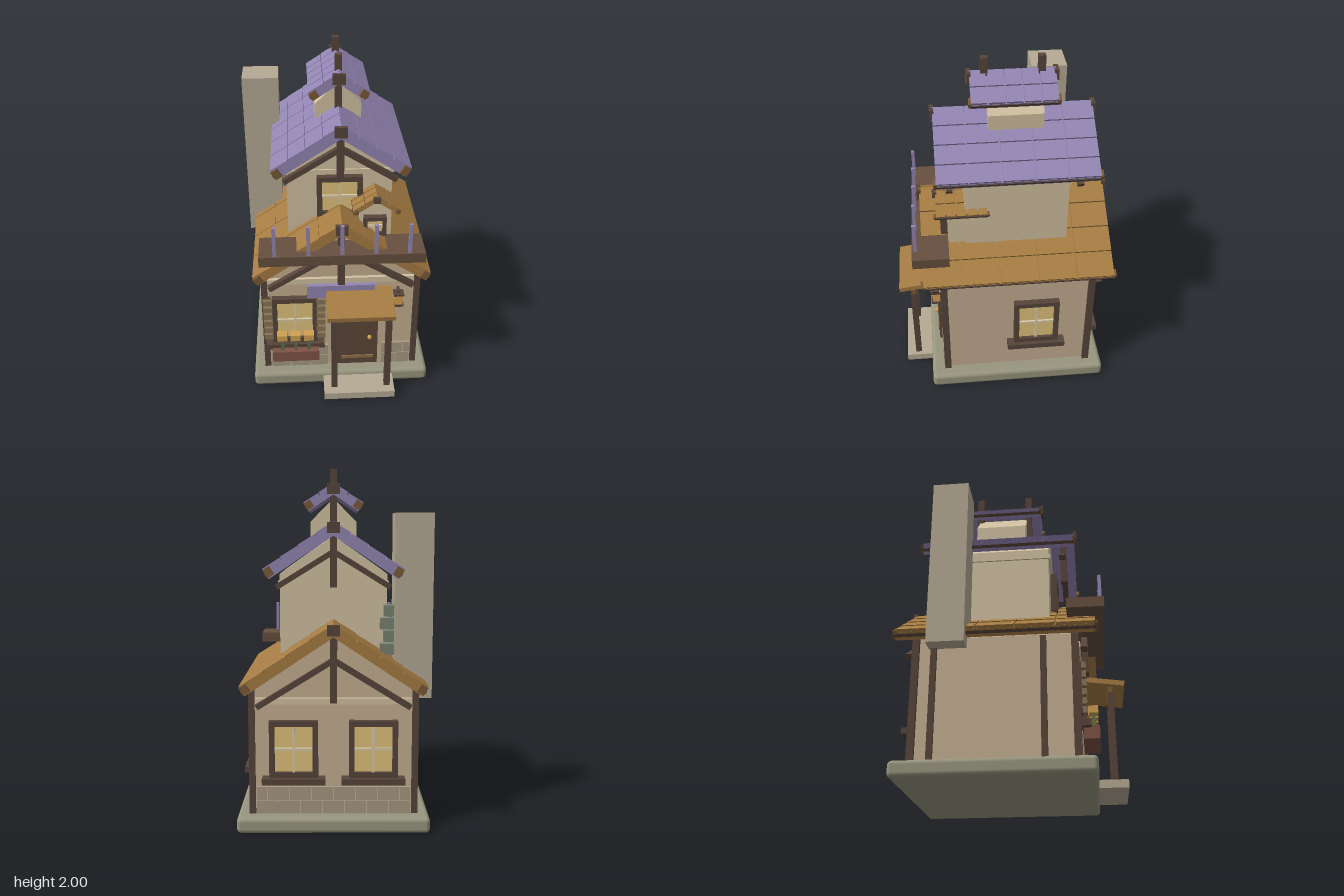
import * as THREE from 'three';
import { RoundedBoxGeometry } from 'three/addons/geometries/RoundedBoxGeometry.js';

const COLORS = {
  wall: 0xc6b092, upperWall: 0xd2c2a2, timber: 0x57453a, door: 0x5c4738, balcony: 0x66503f,
  brownTile: 0xa67c43, purpleTile: 0x9385b3, eave: 0x7a5a36, glass: 0xe2c47c, bar: 0xd9cba8,
  chimney: 0xb5aa94, base: 0x98967f, stone: 0xa89a82, moss: 0x7b8172, planter: 0x805345,
  stem: 0x5f7048, flower: 0xd0a050, shutter: 0x8a7556, strap: 0x8c7048, lamp: 0xd9a04e,
};
const mats = {};
const mat = (c) => (mats[c] ??= new THREE.MeshStandardMaterial({ color: COLORS[c] }));
const ANGLE = Math.atan(2 / 3);

function mesh(parent, name, geo, color, x = 0, y = 0, z = 0) {
  const m = new THREE.Mesh(geo, mat(color));
  m.name = name;
  m.position.set(x, y, z);
  parent.add(m);
  return m;
}
// Box given by its minimum and maximum on each axis
function span(parent, name, color, x0, x1, y0, y1, z0, z1) {
  return mesh(parent, name, new THREE.BoxGeometry(x1 - x0, y1 - y0, z1 - z0), color,
    (x0 + x1) / 2, (y0 + y1) / 2, (z0 + z1) / 2);
}
function group(parent, name, x = 0, y = 0, z = 0, ry = 0) {
  const g = new THREE.Group();
  g.name = name;
  g.position.set(x, y, z);
  g.rotation.y = ry;
  parent.add(g);
  return g;
}
// Square beam between two points in a plane of constant z
function beam(parent, name, x0, y0, x1, y1, z, thick, depth) {
  const len = Math.hypot(x1 - x0, y1 - y0);
  const m = mesh(parent, name, new THREE.BoxGeometry(len, thick, depth), 'timber', (x0 + x1) / 2, (y0 + y1) / 2, z);
  m.rotation.z = Math.atan2(y1 - y0, x1 - x0);
}
// Storey with gabled ends
function gabledBody(parent, name, color, w, y0, shoulder, apex, z0, z1, x = 0) {
  const s = new THREE.Shape([[-w, y0], [w, y0], [w, shoulder], [0, apex], [-w, shoulder]].map((p) => new THREE.Vector2(...p)));
  mesh(parent, name, new THREE.ExtrudeGeometry(s, { depth: z1 - z0, bevelEnabled: false }), color, x, 0, z0);
}

// Two tiled slopes meeting at a ridge along z
function gableRoof(parent, name, color, o) {
  const { x = 0, ridge, half, z0, z1, t, rows, cols, block = 0.07 } = o;
  const roof = group(parent, name, x, ridge, (z0 + z1) / 2);
  const L = half / Math.cos(ANGLE), D = z1 - z0, gap = 0.008;
  for (const turn of [0, Math.PI]) {
    const slope = group(group(roof, 'roofSide', 0, 0, 0, turn), 'slope');
    slope.rotation.z = -ANGLE;
    mesh(slope, 'roofSlab', new THREE.BoxGeometry(L, t - 0.015, D - 0.01), color, L / 2, -0.015 - (t - 0.015) / 2, 0);
    const tw = L / rows, td = D / cols;
    const tile = new THREE.BoxGeometry(tw - gap * 0.6, 0.022, td - gap);
    for (let r = 0; r < rows; r++) for (let c = 0; c < cols; c++) {
      const m = mesh(slope, 'roofTile', tile, color, (r + 0.5) * tw, -0.011, -D / 2 + (c + 0.5) * td);
      m.rotation.z = 0.03;
    }
    mesh(slope, 'eaveRod', new THREE.BoxGeometry(0.02, 0.018, D + 0.005), 'timber', L - 0.005, -t * 0.55, 0);
    for (const s of [-1, 1])
      mesh(slope, 'eaveBlock', new THREE.BoxGeometry(block * 0.6, t * 0.8, 0.02), 'eave', L - block * 0.3, -t * 0.5, s * D / 2);
  }
  for (const s of [-1, 1])
    mesh(roof, 'ridgeBlock', new THREE.BoxGeometry(block, block * 0.85, 0.025), 'timber', 0, -block * 0.5, s * D / 2);
}

// King post with two braces in a gable
function gableTruss(parent, z, y0, yTop, braceTop, braceX, braceY) {
  const g = group(parent, 'gableTruss');
  span(g, 'kingPost', 'timber', -0.02, 0.02, y0, yTop, z - 0.02, z + 0.02);
  for (const s of [-1, 1]) beam(g, 'brace', 0, braceTop, s * braceX, braceY, z, 0.03, 0.035);
}

// Framed window facing +z of its own group
function windowUnit(parent, x, y, z, ry, w, h, sill = true, b = 0.03) {
  const g = group(parent, 'window', x, y, z, ry);
  for (const s of [-1, 1]) {
    mesh(g, 'frameSide', new THREE.BoxGeometry(b, h, 0.04), 'timber', s * (w - b) / 2, 0, 0.02);
    mesh(g, 'frameRail', new THREE.BoxGeometry(w, b, 0.038), 'timber', 0, s * (h - b) / 2, 0.02);
  }
  mesh(g, 'glass', new THREE.BoxGeometry(w - b, h - b, 0.02), 'glass', 0, 0, 0.01);
  mesh(g, 'glazingBar', new THREE.BoxGeometry(0.014, h - b, 0.02), 'bar', 0, 0, 0.022);
  mesh(g, 'glazingBar', new THREE.BoxGeometry(w - b, 0.014, 0.02), 'bar', 0, 0, 0.022);
  if (sill) mesh(g, 'sill', new THREE.BoxGeometry(w + 0.08, 0.035, 0.065), 'timber', 0, -h / 2 - 0.0175, 0.03);
}

// Two courses of blocks along a wall
function stoneCourse(parent, x0, x1, z) {
  const n = Math.max(1, Math.round((x1 - x0) / 0.115)), w = (x1 - x0) / n;
  for (let r = 0; r < 2; r++) {
    const cuts = [0];
    for (let i = r ? 0.5 : 1; i < n; i++) cuts.push(i);
    cuts.push(n);
    for (let i = 0; i + 1 < cuts.length; i++)
      span(parent, 'stoneBlock', 'stone', x0 + cuts[i] * w + 0.003, x0 + cuts[i + 1] * w - 0.003,
        0.09 + r * 0.08, 0.166 + r * 0.08, z - 0.012, z + 0.012);
  }
}

export function createModel() {
  const root = new THREE.Group();
  root.name = 'cottage';
  const house = group(root, 'house', 0.005);

  // Base and ground floor
  mesh(house, 'base', new RoundedBoxGeometry(1.07, 0.09, 1.07, 3, 0.025), 'base', 0, 0.045, -0.065);
  gabledBody(house, 'groundFloor', 'wall', 0.45, 0.08, 0.79, 1.09, -0.51, 0.38);
  for (const x of [-0.452, 0.452]) for (const z of [0.372, -0.5])
    span(house, 'cornerPost', 'timber', x - 0.018, x + 0.018, 0.09, 0.81, z - 0.02, z + 0.02);
  for (const z of [-0.4, 0.2]) span(house, 'wallPost', 'timber', -0.465, -0.44, 0.09, 0.78, z - 0.017, z + 0.017);
  stoneCourse(house, -0.43, -0.075, 0.385);
  stoneCourse(house, 0.25, 0.43, 0.385);
  stoneCourse(house, -0.43, 0.43, -0.515);
  for (const z of [0.385, -0.515]) span(house, 'gableTrim', 'upperWall', -0.43, 0.43, 0.715, 0.75, z - 0.015, z + 0.015);
  gableTruss(house, 0.42, 0.73, 1.1, 0.965, 0.42, 0.705);
  gableTruss(house, -0.55, 0.73, 1.1, 0.965, 0.42, 0.705);
  gableRoof(house, 'lowerRoof', 'brownTile', { ridge: 1.17, half: 0.51, z0: -0.62, z1: 0.49, t: 0.06, rows: 4, cols: 5 });

  // Upper floor
  gabledBody(house, 'upperFloor', 'upperWall', 0.3, 0.85, 1.42, 1.63, -0.36, 0.23);
  span(house, 'upperTrim', 'upperWall', -0.31, 0.31, 1.355, 1.38, -0.37, 0.24);
  gableTruss(house, 0.31, 1.35, 1.65, 1.545, 0.315, 1.35);
  gableTruss(house, -0.42, 1.35, 1.65, 1.545, 0.315, 1.35);
  gableRoof(house, 'upperRoof', 'purpleTile', { ridge: 1.71, half: 0.385, z0: -0.52, z1: 0.385, t: 0.065, rows: 4, cols: 5 });
  windowUnit(house, 0, 1.22, 0.23, 0, 0.26, 0.25, false);

  // Cupola
  gabledBody(house, 'cupola', 'upperWall', 0.13, 1.6, 1.71, 1.84, -0.23, 0.08);
  gableRoof(house, 'cupolaRoof', 'purpleTile', { ridge: 1.925, half: 0.17, z0: -0.305, z1: 0.175, t: 0.055, rows: 2, cols: 5 });
  for (const z of [0.09, -0.225]) span(house, 'ridgePost', 'timber', -0.02, 0.02, 1.62, 2, z - 0.02, z + 0.02);

  // Dormer
  gabledBody(house, 'dormer', 'upperWall', 0.09, 0.9, 1.165, 1.23, 0.15, 0.33, 0.2);
  windowUnit(house, 0.195, 1.075, 0.33, 0, 0.13, 0.12, false, 0.022);
  gableRoof(house, 'dormerRoof', 'brownTile', { x: 0.2, ridge: 1.285, half: 0.135, z0: 0.1, z1: 0.395, t: 0.03, rows: 2, cols: 5, block: 0.04 });

  // Balcony
  span(house, 'balcony', 'balcony', -0.465, 0.465, 0.94, 1.0, 0.33, 0.54);
  for (let i = -2; i <= 2; i++) span(house, 'baluster', 'purpleTile', i * 0.188 - 0.01, i * 0.188 + 0.01, 1, 1.18, 0.51, 0.53);

  // Chimney with a few stones beside it
  span(house, 'chimney', 'chimney', -0.55, -0.337, 0.73, 1.755, -0.43, -0.22);
  for (let i = 0; i < 4; i++)
    span(house, 'cornerStone', 'moss', -0.337, -0.26 - (i % 2) * 0.02, 0.97 + i * 0.072, 1.033 + i * 0.072, -0.405, -0.34);

  // Door
  const door = group(house, 'door');
  span(door, 'doorFrame', 'wall', -0.05, 0.255, 0.09, 0.61, 0.375, 0.395);
  span(door, 'doorPanel', 'door', -0.02, 0.225, 0.11, 0.57, 0.38, 0.415);
  for (const y of [0.165, 0.465]) span(door, 'doorStrap', 'strap', 0.005, 0.2, y - 0.01, y + 0.01, 0.41, 0.422);
  mesh(door, 'doorKnob', new THREE.SphereGeometry(0.014, 12, 8), 'lamp', 0.175, 0.32, 0.425);
  span(house, 'signBoard', 'purpleTile', -0.2, 0.2, 0.625, 0.71, 0.39, 0.42);

  // Porch
  const porch = group(house, 'porch');
  span(porch, 'porchStep', 'chimney', -0.11, 0.315, 0.02, 0.065, 0.45, 0.63);
  for (const x of [-0.047, 0.272]) span(porch, 'porchPost', 'timber', x - 0.018, x + 0.018, 0.06, 0.63, 0.54, 0.575);
  span(porch, 'porchBeam', 'eave', -0.075, 0.295, 0.58, 0.615, 0.54, 0.57);
  mesh(porch, 'porchRoof', new THREE.BoxGeometry(0.39, 0.03, 0.255), 'brownTile', 0.105, 0.645, 0.512).rotation.x = 0.14;

  // Ground-floor windows
  windowUnit(house, -0.275, 0.46, 0.38, 0, 0.27, 0.32);
  windowUnit(house, 0.45, 0.465, -0.175, Math.PI / 2, 0.27, 0.32);
  for (const x of [-0.22, 0.22]) windowUnit(house, x, 0.465, -0.51, Math.PI, 0.27, 0.32);

  // Slatted shutters
  for (const x of [-0.435, -0.12]) {
    const shutter = group(house, 'shutter', x, 0, 0.4);
    span(shutter, 'shutterBack', 'timber', -0.018, 0.018, 0.33, 0.62, -0.02, 0.005);
    for (let i = 0; i < 6; i++) span(shutter, 'slat', 'shutter', -0.027, 0.027, 0.33 + i * 0.05, 0.365 + i * 0.05, 0, 0.025);
  }

  // Flower box
  span(house, 'planter', 'planter', -0.415, -0.135, 0.205, 0.275, 0.4, 0.485);
  for (const x of [-0.355, -0.275, -0.195]) {
    span(house, 'stem', 'stem', x - 0.01, x + 0.01, 0.27, 0.36, 0.445, 0.465);
    span(house, 'blossom', 'flower', x - 0.03, x + 0.03, 0.355, 0.395, 0.43, 0.48);
  }

  // Lantern
  const lantern = group(house, 'lantern', 0.34, 0, 0.42);
  span(lantern, 'lanternGlass', 'lamp', -0.022, 0.022, 0.575, 0.64, -0.022, 0.022);
  for (const y of [0.57, 0.645]) span(lantern, 'lanternCap', 'timber', -0.03, 0.03, y - 0.006, y + 0.006, -0.03, 0.03);
  span(lantern, 'lanternArm', 'timber', -0.008, 0.008, 0.65, 0.665, -0.045, 0.01);
  return root;
}
